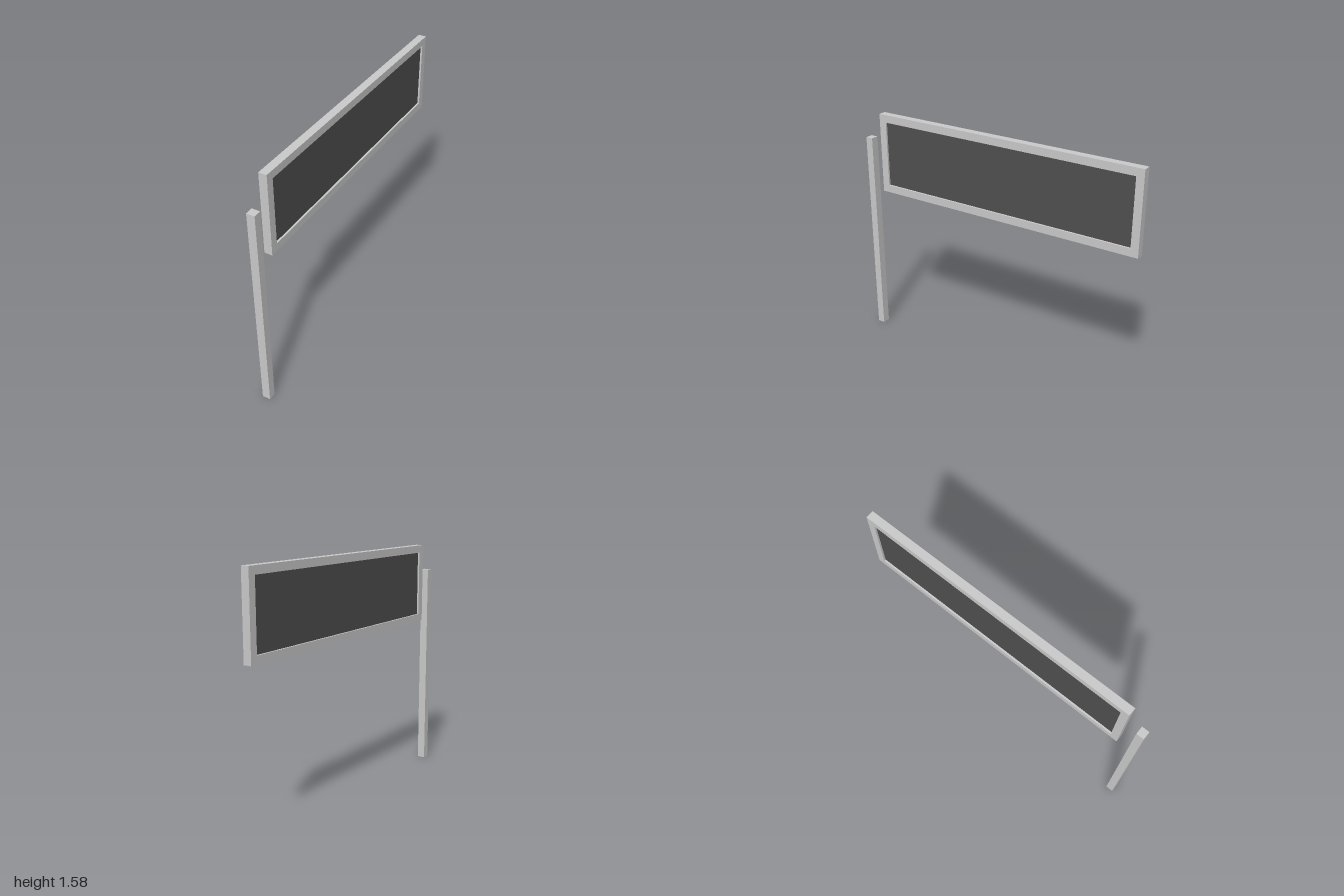
import * as THREE from 'three';

const grey = new THREE.MeshStandardMaterial({ color: 0xcccccc });
const dark = new THREE.MeshStandardMaterial({ color: 0x505050 });

const FRAME_W = 0.052, POST_W = 0.053, BORDER = 0.05, INSET = 0.012;
const Z0 = -1, Z1 = 0.872, Y0 = 1.052, Y1 = 1.584;

// Adds the four corners of a rectangle to a shape or path
function rect(path, x0, y0, x1, y1) {
  path.moveTo(x0, y0).lineTo(x1, y0).lineTo(x1, y1).lineTo(x0, y1).closePath();
  return path;
}

function addPart(group, name, geometry, material) {
  const mesh = new THREE.Mesh(geometry, material);
  mesh.name = name;
  group.add(mesh);
  return mesh;
}

export function createModel() {
  const model = new THREE.Group();
  model.name = 'signboard';

  // Upright square post beside the board
  addPart(model, 'post', new THREE.BoxGeometry(POST_W, 1.405, 0.05), grey)
    .position.set(0, 1.405 / 2, 0.975);

  // Rectangular frame, drawn in the z-y plane and extruded along x
  const outline = rect(new THREE.Shape(), Z0, Y0, Z1, Y1);
  outline.holes.push(rect(new THREE.Path(), Z0 + BORDER, Y0 + BORDER, Z1 - BORDER, Y1 - BORDER));
  const frame = new THREE.ExtrudeGeometry(outline, { depth: FRAME_W, bevelEnabled: false });
  frame.translate(0, 0, -FRAME_W / 2).rotateY(-Math.PI / 2);
  addPart(model, 'frame', frame, grey);

  // Dark panel, recessed on both faces
  addPart(
    model, 'panel',
    new THREE.BoxGeometry(FRAME_W - 2 * INSET, Y1 - Y0 - 2 * BORDER, Z1 - Z0 - 2 * BORDER), dark
  ).position.set(0, (Y0 + Y1) / 2, (Z0 + Z1) / 2);

  return model;
}
